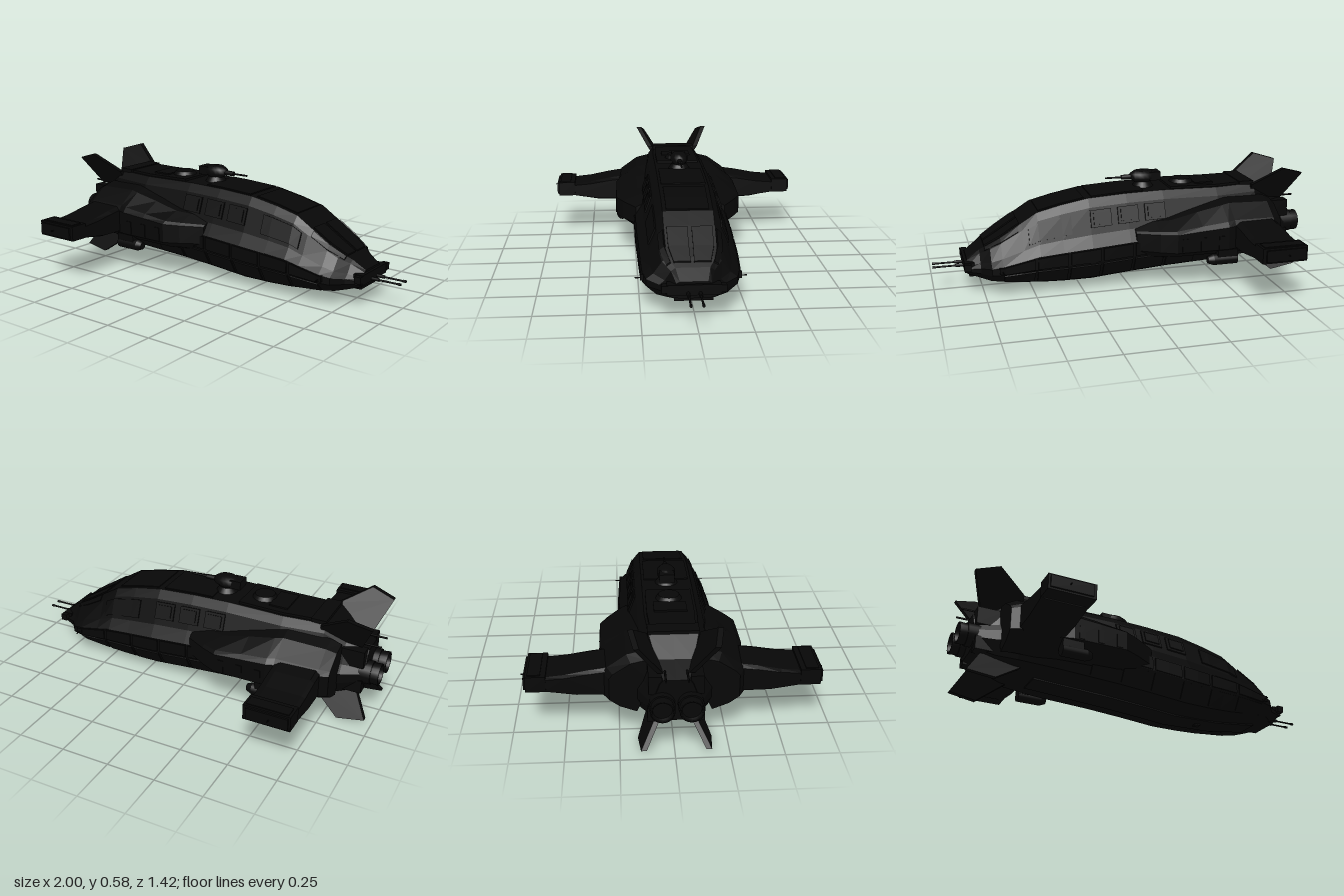
import * as THREE from 'three';

const hullBlack = new THREE.MeshStandardMaterial({ color: 0x070707 });
hullBlack.name = 'hullBlack';

// Hull stations: x, top, bottom, half width
const STATIONS = [
  [-0.93, 0.37, 0.165, 0.115], [-0.82, 0.415, 0.125, 0.165], [-0.72, 0.49, 0.10, 0.22],
  [-0.5, 0.485, 0.085, 0.245], [-0.2, 0.49, 0.07, 0.245], [0, 0.485, 0.055, 0.245],
  [0.2, 0.473, 0.037, 0.245], [0.35, 0.445, 0.037, 0.24], [0.47, 0.415, 0.043, 0.238],
  [0.55, 0.365, 0.053, 0.236], [0.66, 0.295, 0.067, 0.23], [0.715, 0.262, 0.074, 0.215],
  [0.765, 0.23, 0.082, 0.155], [0.83, 0.185, 0.105, 0.125]];
// Half section as fractions of half width and height, from top to keel
const SECTION = [[0, 1], [0.52, 1], [0.65, 0.9], [0.84, 0.6], [1, 0.46], [1, 0.28], [0.77, 0.05], [0.4, 0], [0, 0]];
// Whole craft sits slightly off the centre line
const CENTRE_Z = 0.007;

// Skins rings of [x, y, z], listed counter-clockwise about +x, with flat faces and end caps
function loft(rings) {
  const pos = [];
  const n = rings[0].length;
  const tri = (a, b, c) => pos.push(...a, ...b, ...c);
  for (let i = 0; i < rings.length - 1; i++) {
    for (let j = 0; j < n; j++) {
      const k = (j + 1) % n, p = rings[i], q = rings[i + 1];
      tri(p[j], p[k], q[j]);
      tri(p[k], q[k], q[j]);
    }
  }
  const cap = (ring, front) => {
    const flat = ring.map(p => new THREE.Vector2(p[1], p[2]));
    for (const [a, b, c] of THREE.ShapeUtils.triangulateShape(flat, [])) {
      if (front) tri(ring[a], ring[b], ring[c]); else tri(ring[a], ring[c], ring[b]);
    }
  };
  cap(rings[0], false);
  cap(rings[rings.length - 1], true);
  const g = new THREE.BufferGeometry();
  g.setAttribute('position', new THREE.Float32BufferAttribute(pos, 3));
  g.computeVertexNormals();
  return g;
}

// Mirrors rings to the other side and restores their direction
const sided = (rings, s) => s > 0 ? rings : rings.map(r => r.map(([x, y, z]) => [x, y, -z]).reverse());

function hullPoint(x, t) {
  let i = 0;
  while (i < STATIONS.length - 2 && x > STATIONS[i + 1][0]) i++;
  const a = STATIONS[i], b = STATIONS[i + 1], f = (x - a[0]) / (b[0] - a[0]);
  const [top, bot, w] = [1, 2, 3].map(k => a[k] + (b[k] - a[k]) * f);
  const j = Math.min(Math.floor(t), SECTION.length - 2), u = t - j;
  const c = SECTION[j], d = SECTION[j + 1];
  return [x, bot + (top - bot) * (c[1] + (d[1] - c[1]) * u), w * (c[0] + (d[0] - c[0]) * u)];
}

// Raised plate following the hull between section positions t0 and t1
function plateRings(xs, t0, t1, h) {
  return xs.map(x => {
    const a = hullPoint(x, t0), b = hullPoint(x, t1);
    const len = Math.hypot(b[1] - a[1], b[2] - a[2]);
    const ny = (b[2] - a[2]) / len, nz = -(b[1] - a[1]) / len;
    const off = (p, d) => [x, p[1] + ny * d, p[2] + nz * d];
    return [off(a, h), off(b, h), off(b, -0.01), off(a, -0.01)];
  });
}

export function createModel() {
  const model = new THREE.Group();
  model.name = 'gunship';
  const add = (name, geo, x = 0, y = 0, z = 0) => {
    const m = new THREE.Mesh(geo, hullBlack);
    m.name = name;
    m.position.set(x, y, z + CENTRE_Z);
    model.add(m);
    return m;
  };
  const box = (name, w, h, d, x, y, z) => add(name, new THREE.BoxGeometry(w, h, d), x, y, z);
  // Cylinder along x; r1 is the front radius
  const rod = (name, r1, r0, len, x, y, z, seg = 16) =>
    add(name, new THREE.CylinderGeometry(r1, r0, len, seg).rotateZ(-Math.PI / 2), x, y, z);
  const plate = (name, xs, t0, t1, h) => {
    for (const s of [1, -1]) add(name, loft(sided(plateRings(xs, t0, t1, h), s)));
  };

  // Main hull
  add('hull', loft(STATIONS.map(([x]) => {
    const half = SECTION.map((_, t) => hullPoint(x, t));
    return [...half, ...half.slice(1, -1).reverse().map(([a, b, c]) => [a, b, -c])];
  })));

  // Raised plating
  for (const x of [-0.2, -0.055, 0.09]) {
    plate('sideWindowFrame', [x, x + 0.11], 2.1, 2.75, 0.008);
    plate('sideWindow', [x + 0.015, x + 0.095], 2.2, 2.65, 0.014);
  }
  plate('cockpitSidePane', [0.3, 0.35, 0.47, 0.52], 2.1, 2.85, 0.007);
  plate('windshield', [0.56, 0.66, 0.74], 0.08, 0.9, 0.007);
  plate('windshieldSide', [0.57, 0.66, 0.74], 1.1, 1.9, 0.007);
  plate('roofPanel', [0.22, 0.35, 0.46], 0, 0.85, 0.005);
  plate('deckPanel', [-0.1, 0, 0.18], 0, 0.9, 0.006);
  plate('rearDeckPanel', [-0.7, -0.5, -0.25], 0, 0.9, 0.012);
  for (let i = 0; i < 6; i++) {
    const x = -0.35 + i * 0.17;
    plate('armourPanel', [x, x + 0.08, x + 0.155], 4.08, 4.95, 0.007);
    plate('lowerPanel', [x, x + 0.08, x + 0.155], 5.1, 5.9, 0.006);
  }
  plate('keelPlate', [-0.6, -0.2, 0, 0.2, 0.47, 0.7], 7.3, 8, 0.008);

  // Nose block and twin guns
  box('noseBlock', 0.05, 0.05, 0.25, 0.82, 0.15, 0);
  box('chinBlock', 0.06, 0.03, 0.18, 0.79, 0.105, 0);
  for (const s of [1, -1]) {
    box('noseLamp', 0.035, 0.035, 0.03, 0.83, 0.155, s * 0.135);
    rod('noseGun', 0.005, 0.005, 0.17, 0.915, 0.135, s * 0.028, 8);
    rod('noseGunSleeve', 0.009, 0.009, 0.05, 0.86, 0.135, s * 0.028, 8);
    rod('noseGunMuzzle', 0.007, 0.007, 0.016, 0.992, 0.135, s * 0.028, 8);
    box('chineSensor', 0.03, 0.03, 0.03, 0.665, 0.155, s * 0.225);
    rod('chineSpike', 0.003, 0.003, 0.06, 0.665, 0.15, s * 0.235, 6).rotation.y = Math.PI / 2;
  }
  box('bellySensor', 0.03, 0.02, 0.03, 0.37, 0.035, 0);

  // Top turret and hatch
  add('hatch', new THREE.CylinderGeometry(0.052, 0.068, 0.025, 20), -0.345, 0.507, 0);
  add('turretBase', new THREE.CylinderGeometry(0.04, 0.06, 0.03, 20), -0.13, 0.5, 0);
  const headProfile = [[0, -0.03], [0.03, -0.03], [0.046, -0.012], [0.046, 0.014], [0.03, 0.03], [0, 0.03]];
  const head = add('turretHead', new THREE.LatheGeometry(headProfile.map(p => new THREE.Vector2(...p)), 16), -0.13, 0.543, 0);
  head.scale.set(1.55, 1, 1);
  box('turretBreech', 0.06, 0.045, 0.075, -0.19, 0.543, 0);
  rod('turretSleeve', 0.012, 0.014, 0.06, -0.04, 0.54, 0, 10);
  rod('turretBarrel', 0.005, 0.005, 0.12, 0.015, 0.54, 0, 8);

  // Aft deck boxes
  box('aftDeckBlock', 0.08, 0.04, 0.24, -0.68, 0.485, 0);
  box('aftDeckVent', 0.1, 0.03, 0.16, -0.45, 0.49, 0);
  for (const x of [-0.6, -0.55]) box('deckRib', 0.025, 0.025, 0.2, x, 0.482, 0);

  // Cross-section of side housings as [y, z]
  const pod = [[0.44, 0.15], [0.42, 0.23], [0.352, 0.325], [0.325, 0.345], [0.205, 0.345], [0.17, 0.29], [0.14, 0.2], [0.3, 0.12]];
  // Housing stations: x, width scale, scale of the height above the middle
  const podStations = [[-0.81, 0.87, 0.8], [-0.76, 0.95, 0.95], [-0.54, 0.97, 1], [-0.5, 1, 0.95],
    [-0.36, 1, 0.75], [-0.22, 1, 0.52], [-0.14, 0.89, 0.45], [-0.03, 0.7, 0.35]];
  // Wing outline as [y, z]
  const wing = [[0.345, 0.3], [0.332, 0.39], [0.31, 0.5], [0.3, 0.6], [0.23, 0.6], [0.203, 0.45], [0.2, 0.3]];

  for (const s of [1, -1]) {
    // Shoulder housing
    add('shoulderHousing', loft(sided(podStations.map(([x, k, t]) =>
      pod.map(([y, z]) => [x, 0.28 + (y - 0.28) * (y > 0.28 ? t : 1), z * k])), s)));
    for (const x of [-0.46, -0.36, -0.26]) box('housingRib', 0.03, 0.07, 0.02, x, 0.245, s * 0.339);

    // Wing with a blunt tip
    add('wing', loft(sided([-0.77, -0.75, -0.57, -0.54].map((x, i) =>
      wing.map(([y, z]) => [x, 0.265 + (y - 0.265) * (i === 0 || i === 3 ? 0.82 : 1), z])), s)));
    box('wingTip', 0.235, 0.078, 0.095, -0.655, 0.274, s * 0.638);
    box('wingTipCap', 0.2, 0.06, 0.02, -0.655, 0.274, s * 0.685);
    box('wingTipRail', 0.21, 0.012, 0.06, -0.655, 0.312, s * 0.645);
    for (const x of [-0.745, -0.575]) box('tipLamp', 0.035, 0.06, 0.03, x, 0.274, s * 0.68);
    rod('tipSpike', 0.003, 0.003, 0.05, -0.67, 0.274, s * 0.687, 6).rotation.y = Math.PI / 2;

    // Pod slung under the housing
    rod('underPod', 0.03, 0.03, 0.13, -0.49, 0.145, s * 0.312);
    rod('underPodNose', 0.018, 0.03, 0.03, -0.41, 0.145, s * 0.312);
    box('underPodPylon', 0.11, 0.05, 0.056, -0.5, 0.175, s * 0.308);

    // Twin engines
    rod('engineBody', 0.06, 0.06, 0.12, -0.9, 0.25, s * 0.065, 20);
    add('engineNozzle', new THREE.LatheGeometry(
      [[0, -0.03], [0.04, -0.03], [0.046, 0.04], [0.056, 0.04], [0.05, -0.04]]
        .map(p => new THREE.Vector2(...p)).reverse(), 20).rotateZ(Math.PI / 2), -0.96, 0.25, s * 0.065);
    rod('engineCore', 0.044, 0.044, 0.05, -0.955, 0.25, s * 0.065, 20);

    // Tail equipment
    box('tailBlock', 0.13, 0.09, 0.06, -0.86, 0.34, s * 0.095);
    box('tailLowerBlock', 0.13, 0.07, 0.06, -0.86, 0.19, s * 0.1);
    rod('tailProbe', 0.005, 0.005, 0.1, -0.935, 0.393, s * 0.05, 6);

    // Canted tail fins
    const fins = [
      ['upperFin', [[-0.97, 0.55], [-0.9, 0.39], [-0.7, 0.42], [-0.7, 0.49], [-0.85, 0.585]], y => 0.118 + (y - 0.46) * 0.66],
      ['lowerFin', [[-0.965, 0.025], [-0.825, 0.005], [-0.68, 0.11], [-0.72, 0.17], [-0.89, 0.15]], y => 0.162 - y * 0.53]];
    for (const [name, pts, zAt] of fins) {
      const g = new THREE.ExtrudeGeometry(new THREE.Shape(pts.map(p => new THREE.Vector2(...p))), { depth: 0.026, bevelEnabled: false });
      const p = g.attributes.position;
      for (let i = 0; i < p.count; i++) p.setZ(i, p.getZ(i) - 0.013 + s * zAt(p.getY(i)));
      g.computeVertexNormals();
      add(name, g);
    }
  }
  return model;
}
